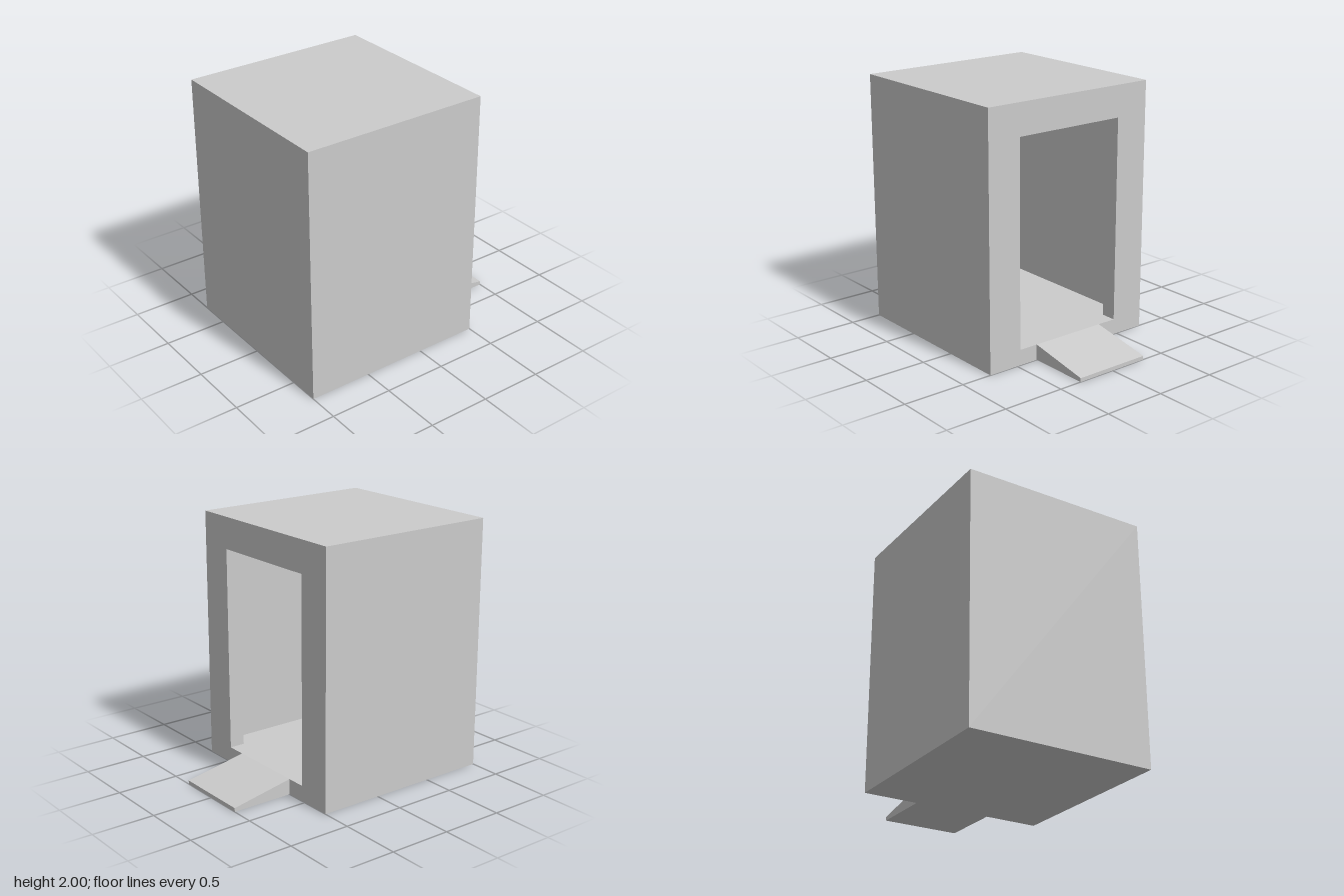
import * as THREE from 'three';
import { mergeGeometries } from 'three/addons/utils/BufferGeometryUtils.js';

const X0 = -1, X1 = 0.5, HALF_Z = 0.75, HEIGHT = 2;   // outer booth
const FLOOR = 0.125, CEILING = 1.75, WALL = 0.125;    // inner room
const DOOR = 0.47, RAMP = 0.3125;                     // half widths

const material = new THREE.MeshStandardMaterial({ color: 0xcccccc, flatShading: true });
const shapeOf = (pts) => new THREE.Shape(pts.map(([x, y]) => new THREE.Vector2(x, y)));

function addPart(group, name, geometry) {
  const mesh = new THREE.Mesh(geometry, material);
  mesh.name = name;
  group.add(mesh);
}

// Upright panel from a to b on the plan (x, z), facing the left-hand side of the walk
function panel([ax, az], [bx, bz], y0, y1) {
  const dx = bx - ax, dz = bz - az;
  return new THREE.PlaneGeometry(Math.hypot(dx, dz), y1 - y0)
    .rotateY(Math.atan2(-dz, dx))
    .translate((ax + bx) / 2, (y0 + y1) / 2, (az + bz) / 2);
}

// Panels along an open plan outline
function panels(plan, y0, y1) {
  return mergeGeometries(plan.slice(1).map((p, i) => panel(plan[i], p, y0, y1)));
}

// Flat sheet from a plan outline mirrored in z, facing up or down
function sheet(plan, y, up) {
  return new THREE.ShapeGeometry(shapeOf(plan)).rotateX(up ? -Math.PI / 2 : Math.PI / 2).translate(0, y, 0);
}

export function createModel() {
  const model = new THREE.Group();
  model.name = 'booth';

  // Outer walls, roof and underside
  const outer = [[X1, -HALF_Z], [X0, -HALF_Z], [X0, HALF_Z], [X1, HALF_Z]];
  addPart(model, 'outerWalls', panels(outer, 0, HEIGHT));
  addPart(model, 'roof', sheet(outer, HEIGHT, true));
  addPart(model, 'underside', sheet(outer, 0, false));

  // Wall face with the doorway cut out
  const face = shapeOf([[-HALF_Z, 0], [HALF_Z, 0], [HALF_Z, HEIGHT], [-HALF_Z, HEIGHT]]);
  face.holes.push(shapeOf([[-DOOR, FLOOR], [-DOOR, CEILING], [DOOR, CEILING], [DOOR, FLOOR]]));
  addPart(model, 'doorWall', new THREE.ShapeGeometry(face).rotateY(Math.PI / 2).translate(X1, 0, 0));

  // Room with door jambs; floor and ceiling run out through the doorway
  const ix0 = X0 + WALL, ix1 = X1 - WALL, iz = HALF_Z - WALL;
  const room = [
    [X1, DOOR], [ix1, DOOR], [ix1, iz], [ix0, iz],
    [ix0, -iz], [ix1, -iz], [ix1, -DOOR], [X1, -DOOR],
  ];
  addPart(model, 'innerWalls', panels(room, FLOOR, CEILING));
  addPart(model, 'floor', sheet(room, FLOOR, true));
  addPart(model, 'ceiling', sheet(room, CEILING, false));

  // Entrance ramp
  const profile = shapeOf([[X1, 0], [1, 0], [1, 0.03], [X1, FLOOR]]);
  addPart(model, 'ramp',
    new THREE.ExtrudeGeometry(profile, { depth: 2 * RAMP, bevelEnabled: false }).translate(0, 0, -RAMP));

  return model;
}
